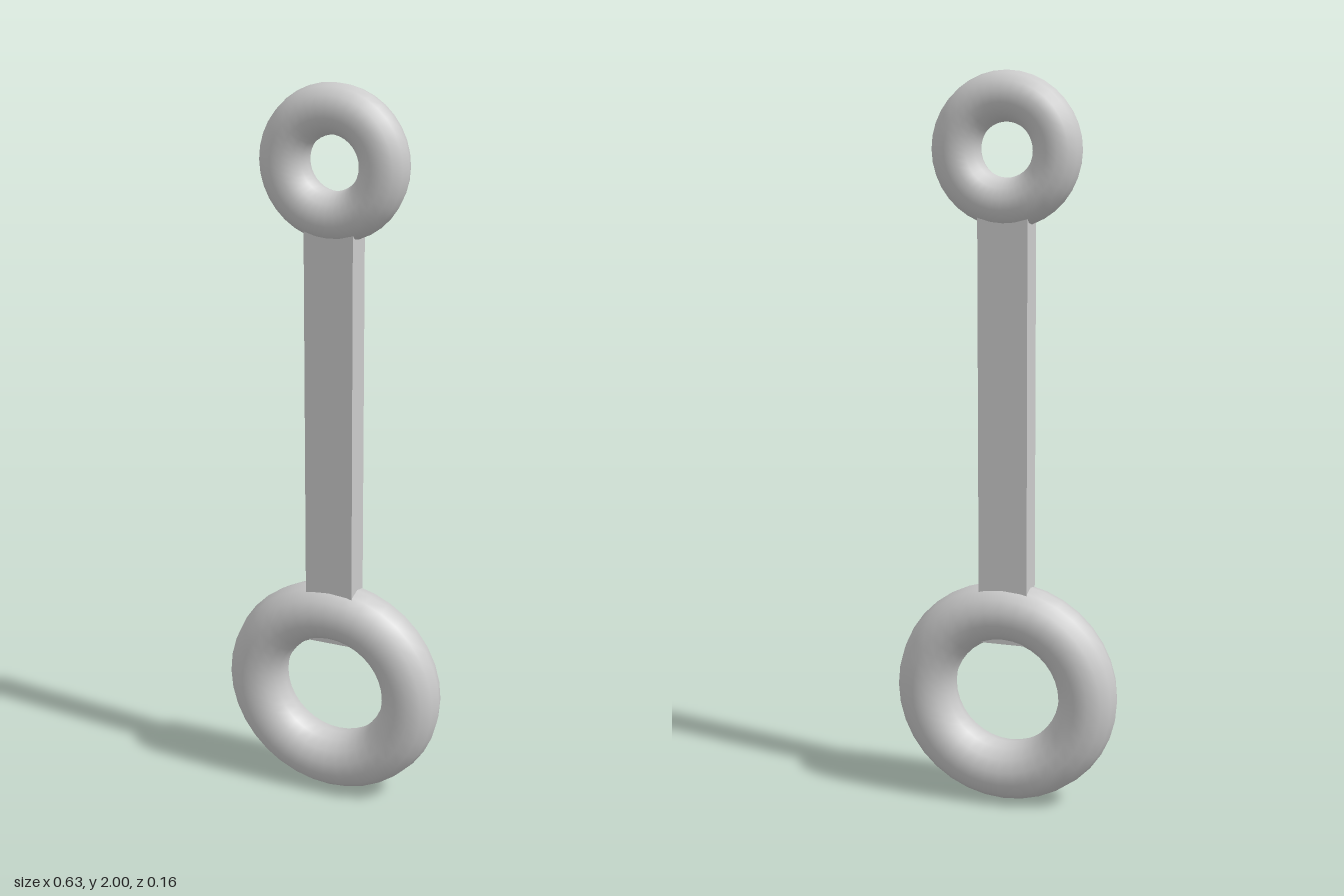
import * as THREE from 'three';

export function createModel() {
  const group = new THREE.Group();
  const material = new THREE.MeshStandardMaterial({ color: 0xcccccc });

  const add = (name, geometry, y) => {
    const mesh = new THREE.Mesh(geometry, material);
    mesh.name = name;
    mesh.position.y = y;
    group.add(mesh);
  };

  // Large ring at the bottom, small ring at the top
  add('lowerRing', new THREE.TorusGeometry(0.232, 0.082, 14, 36), 0.314);
  add('upperRing', new THREE.TorusGeometry(0.137, 0.0655, 14, 36), 1.7975);

  // Flat bar joining the rings, its lower end just showing inside the large ring
  const bottom = 0.463, top = 1.7;
  add('shank', new THREE.BoxGeometry(0.136, top - bottom, 0.082), (top + bottom) / 2);

  return group;
}
